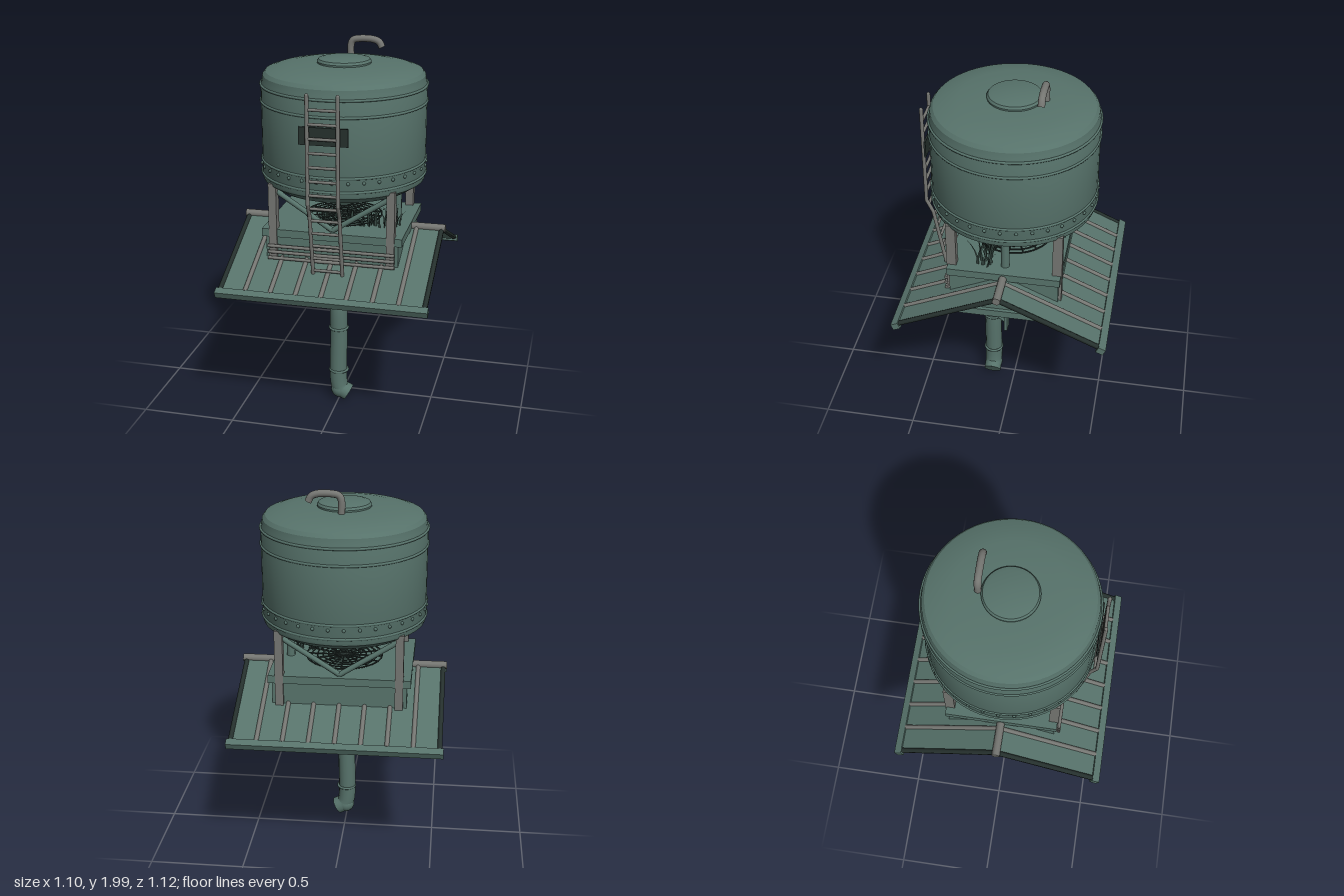
import * as THREE from 'three';
import { toCreasedNormals } from 'three/addons/utils/BufferGeometryUtils.js';

const mat = (name, color, side = THREE.FrontSide) => {
  const m = new THREE.MeshStandardMaterial({ color, side });
  m.name = name;
  return m;
};
const V = (x, y, z) => new THREE.Vector3(x, y, z);

export function createModel() {
  const root = new THREE.Group();
  root.name = 'waterTower';
  const green = mat('paintedGreen', 0x57736b);
  const grey = mat('weatheredGrey', 0x757672);
  const dark = mat('darkTrim', 0x26312e);
  const leaf = mat('leafGreen', 0x33453f, THREE.DoubleSide);

  const add = (name, geo, m, x = 0, y = 0, z = 0, parent = root) => {
    const mesh = new THREE.Mesh(geo, m);
    mesh.name = name;
    mesh.position.set(x, y, z);
    parent.add(mesh);
    return mesh;
  };
  const box = (name, w, h, d, m, x, y, z, parent) => add(name, new THREE.BoxGeometry(w, h, d), m, x, y, z, parent);
  // round bar between two points
  const bar = (name, a, b, r, m, parent, sides = 10) => {
    const dir = b.clone().sub(a);
    const mesh = add(name, new THREE.CylinderGeometry(r, r, dir.length(), sides), m, 0, 0, 0, parent);
    mesh.position.copy(a).add(b).multiplyScalar(0.5);
    mesh.quaternion.setFromUnitVectors(V(0, 1, 0), dir.normalize());
    return mesh;
  };
  // bent pipe with closed ends
  const pipe = (name, pts, r, m, parent) => {
    const curve = new THREE.CatmullRomCurve3(pts, false, 'centripetal');
    add(name, new THREE.TubeGeometry(curve, 36, r, 14), m, 0, 0, 0, parent);
    for (const t of [0, 1]) {
      const cap = add(name + 'End', new THREE.CircleGeometry(r, 14), m, 0, 0, 0, parent);
      cap.position.copy(curve.getPoint(t));
      cap.quaternion.setFromUnitVectors(V(0, 0, 1), curve.getTangent(t).multiplyScalar(t ? 1 : -1));
    }
  };
  const lathe = (name, pts, m) => add(name, toCreasedNormals(
    new THREE.LatheGeometry(pts.map(p => new THREE.Vector2(...p)), 56), 0.5), m);
  const ring = (name, R, r, m, y, x = 0, z = 0) => {
    const t = add(name, new THREE.TorusGeometry(R, r, 8, 56), m, x, y, z);
    t.rotation.x = Math.PI / 2;
    return t;
  };

  // tank body, hatch and bands
  lathe('tank', [[0, 1.235], [0.33, 1.24], [0.37, 1.248], [0.425, 1.285], [0.43, 1.3], [0.43, 1.78], [0.424, 1.8],
    [0.42, 1.83], [0.405, 1.848], [0.36, 1.863], [0.28, 1.878], [0.14, 1.884], [0, 1.885]], green);
  lathe('hatch', [[0.138, 1.875], [0.14, 1.893], [0.132, 1.905], [0.11, 1.911], [0, 1.914]], green);
  for (const y of [1.32, 1.392, 1.697, 1.782]) ring('tankBand', 0.43, 0.007, green, y);
  const rivetGeo = new THREE.SphereGeometry(0.009, 8, 6);
  for (let i = 0; i < 34; i++) {
    const a = (i + 0.5) / 34 * Math.PI * 2;
    add('rivet', rivetGeo, green, Math.sin(a) * 0.431, 1.367, Math.cos(a) * 0.431);
  }
  pipe('ventPipe', [V(0, 1.87, -0.155), V(0, 1.95, -0.155), V(0.012, 1.973, -0.155), V(0.04, 1.981, -0.155),
    V(0.12, 1.98, -0.155), V(0.15, 1.967, -0.155), V(0.165, 1.94, -0.155)], 0.018, grey);
  box('signPlate', 0.25, 0.09, 0.009, dark, 0, 1.605, 0.438);

  // legs, V braces and drain pipe
  for (const z of [-0.275, 0.275]) {
    for (const x of [-0.31, 0.31]) {
      box('leg', 0.042, 0.46, 0.05, grey, x, 1.07, z);
      bar('legBrace', V(x, 1.26, z * 0.95), V(0, 1.06, z * 0.95), 0.014, green);
    }
  }
  bar('drainPipe', V(0.29, 1.03, 0), V(0.29, 1.27, 0), 0.023, green);

  // machine housing
  box('housing', 0.7, 0.26, 0.57, green, 0, 0.91, 0);
  box('housingTop', 0.74, 0.042, 0.59, green, 0, 1.032, 0);
  box('housingBase', 0.74, 0.04, 0.64, green, 0, 0.782, 0);
  for (let i = 0; i < 5; i++) {
    const y = 0.965 - i * 0.033;
    bar('frontRail', V(-0.335, y, 0.307), V(0.335, y, 0.307), 0.009, grey);
  }

  // fan grille above the housing
  for (let i = 1; i <= 7; i++) ring('grilleRing', i * 0.029, 0.004, dark, 1.068);
  for (let i = 0; i < 8; i++) {
    const a = i * Math.PI / 8, c = Math.cos(a) * 0.2, s = Math.sin(a) * 0.2;
    bar('grilleSpoke', V(c, 1.066, s), V(-c, 1.066, -s), 0.004, dark, root, 6);
  }

  // pitched roof, one slope per side
  for (const side of [0, 1]) {
    const turn = new THREE.Group();
    turn.name = side ? 'backRoof' : 'frontRoof';
    turn.rotation.y = side * Math.PI;
    turn.position.y = 1.025;
    root.add(turn);
    const slope = new THREE.Group();
    slope.name = 'roofSlope';
    slope.rotation.x = 0.425;
    turn.add(slope);
    box('roofPanel', 1.06, 0.016, 0.59, green, 0, -0.008, 0.297, slope);
    box('eaveBeam', 1.1, 0.036, 0.04, green, 0, -0.008, 0.592, slope);
    for (let i = -3; i <= 3; i++) {
      bar('roofRib', V(i * 0.1325, 0, 0.01), V(i * 0.1325, 0, 0.575), 0.012, grey, slope);
    }
    for (const x of [-0.53, 0.53]) bar('roofEdge', V(x, -0.004, 0.01), V(x, -0.004, 0.58), 0.014, dark, slope, 6);
  }
  bar('ridgePole', V(-0.55, 1.025, 0), V(0.55, 1.025, 0), 0.021, grey);

  // ladder following the tank, then leaning in to the roof
  const path = [[1.81, 0.458], [1.26, 0.458], [1.19, 0.425], [0.79, 0.355]];
  const zAt = y => {
    for (let i = 0; i < 3; i++) {
      const [y0, z0] = path[i], [y1, z1] = path[i + 1];
      if (y >= y1) return z0 + (z1 - z0) * (y0 - y) / (y0 - y1);
    }
    return path[3][1];
  };
  for (const x of [-0.077, 0.077]) {
    for (let i = 0; i < 3; i++) {
      bar('ladderRail', V(x, ...path[i]), V(x, ...path[i + 1]), 0.01, grey);
      add('ladderJoint', new THREE.SphereGeometry(0.01, 10, 8), grey, x, ...path[i]);
    }
  }
  for (let y = 1.74; y > 0.84; y -= 0.072) {
    bar('ladderRung', V(-0.08, y, zAt(y)), V(0.08, y, zAt(y)), 0.008, grey);
  }

  // grass tuft on the housing top
  let seed = 7;
  const rnd = () => (seed = (seed * 16807) % 2147483647) / 2147483647;
  for (let i = 0; i < 46; i++) {
    const a = rnd() * Math.PI * 2, h = 0.05 + rnd() * 0.08, reach = 0.02 + rnd() * 0.06;
    const blade = new THREE.PlaneGeometry(0.014, 1, 1, 4);
    const p = blade.attributes.position;
    for (let k = 0; k < p.count; k++) {
      const t = p.getY(k) + 0.5;
      p.setXYZ(k, p.getX(k) * (1.05 - t), h * (1.5 * t - 0.5 * t * t), reach * t * t);
    }
    blade.computeVertexNormals();
    const x = i < 34 ? 0.12 + rnd() * 0.2 : -0.12 + rnd() * 0.24;
    add('grassBlade', blade, leaf, x, 1.05, 0.07 + rnd() * 0.08).rotation.y = a;
  }

  // brackets below the housing
  for (const x of [-0.225, 0.225]) {
    box('bracketPost', 0.055, 0.21, 0.018, green, x, 0.665, 0.008);
    box('bracketTop', 0.05, 0.02, 0.17, green, x, 0.757, 0.09);
    bar('bracketStrut', V(x, 0.61, 0.01), V(x, 0.735, 0.165), 0.014, green);
  }
  // outlet plate with slats
  box('outletPlate', 0.27, 0.09, 0.03, green, 0, 0.715, 0.01);
  for (let i = -4; i <= 4; i++) box('outletSlat', 0.01, 0.07, 0.008, dark, i * 0.027, 0.72, 0.028);

  // fan under the housing
  const fan = new THREE.Group();
  fan.name = 'fan';
  fan.position.set(0, 0.752, -0.03);
  root.add(fan);
  add('fanHub', new THREE.CylinderGeometry(0.025, 0.025, 0.03, 16), grey, 0, 0, 0, fan);
  for (let i = 0; i < 6; i++) {
    const arm = new THREE.Group();
    arm.name = 'fanArm';
    arm.rotation.y = i * Math.PI / 3;
    fan.add(arm);
    box('fanBlade', 0.13, 0.005, 0.035, grey, 0.08, 0, 0, arm).rotation.x = 0.3;
  }

  // downspout with elbows and collars
  pipe('downspout', [V(0, 0.73, 0.035), V(0, 0.68, 0.07), V(0, 0.635, 0.108), V(0, 0.58, 0.125), V(0, 0.4, 0.125),
    V(0, 0.12, 0.125), V(0.012, 0.08, 0.125), V(0.055, 0.055, 0.125)], 0.048, green);
  add('downspoutElbow', new THREE.SphereGeometry(0.05, 18, 12), green, 0.006, 0.075, 0.125);
  add('topElbow', new THREE.SphereGeometry(0.052, 18, 12), green, 0, 0.665, 0.08);
  for (const y of [0.6, 0.45, 0.195]) ring('downspoutCollar', 0.048, 0.007, green, y, 0, 0.125);

  return root;
}
